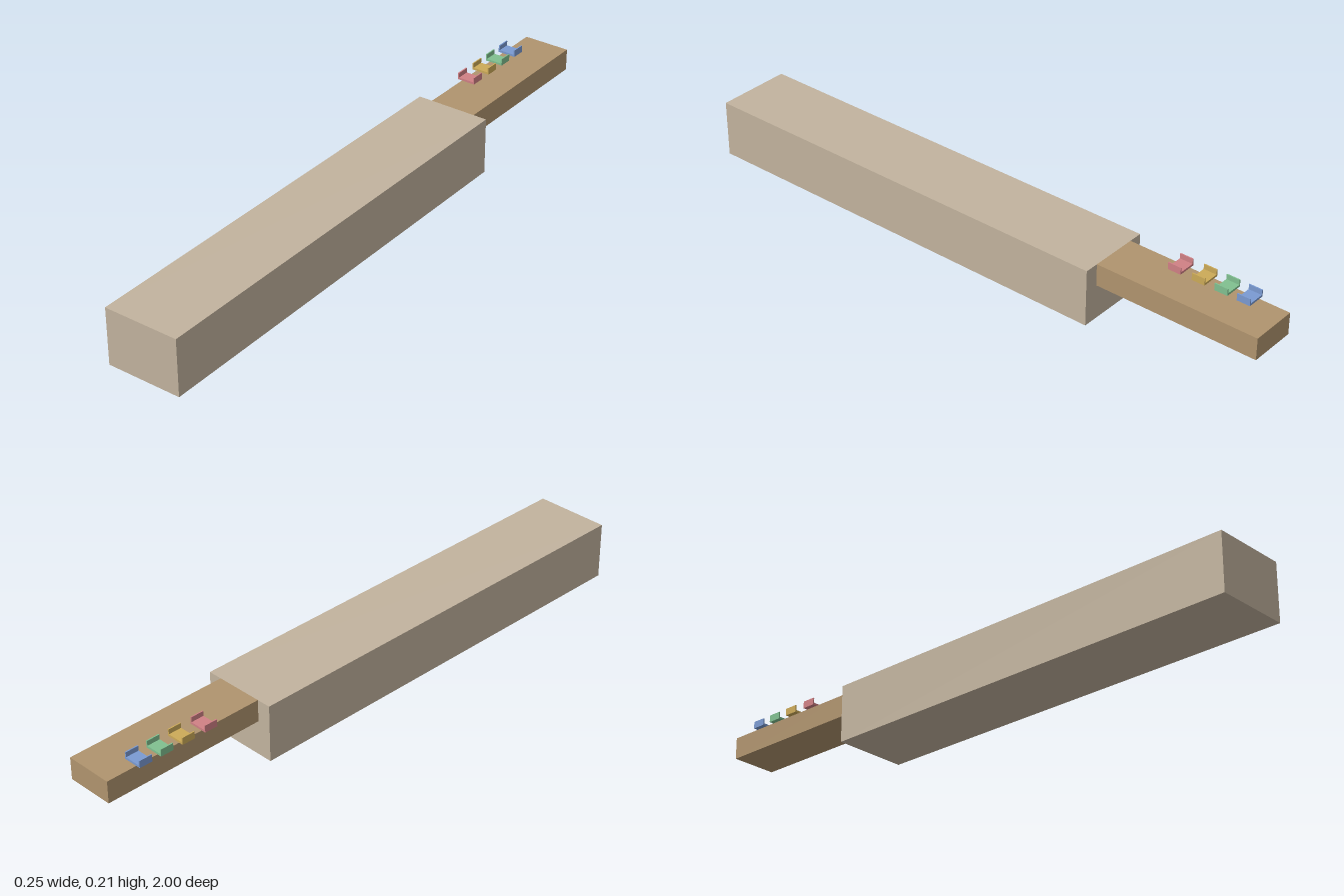
import * as THREE from 'three';

const material = (name, color) => {
  const m = new THREE.MeshStandardMaterial({ color });
  m.name = name;
  return m;
};

// Box given by its minimum and maximum corners
function box(name, mat, min, max) {
  const size = max.map((v, i) => v - min[i]);
  const mesh = new THREE.Mesh(new THREE.BoxGeometry(...size), mat);
  mesh.position.set(...max.map((v, i) => (v + min[i]) / 2));
  mesh.name = name;
  return mesh;
}

// U-shaped channel: a base plate with two thin upright walls, extruded along z
function clip(name, mat, z) {
  const w = 0.0305, h = 0.023, wall = 0.004, base = 0.007, depth = 0.044;
  const profile = new THREE.Shape([
    [-w, 0], [w, 0], [w, h], [w - wall, h], [w - wall, base],
    [-w + wall, base], [-w + wall, h], [-w, h],
  ].map(([x, y]) => new THREE.Vector2(x, y)));
  const geometry = new THREE.ExtrudeGeometry(profile, { depth, bevelEnabled: false });
  geometry.translate(0, 0, -depth / 2);
  const mesh = new THREE.Mesh(geometry, mat);
  mesh.position.set(-0.0625, 0.187, z);
  mesh.name = name;
  return mesh;
}

export function createModel() {
  const group = new THREE.Group();
  group.name = 'model';

  // Long body and the narrower neck flush with its top
  group.add(box('body', material('pale wood', 0xc2b39e), [-0.124, 0, -0.455], [0.124, 0.187, 1]));
  group.add(box('neck', material('brown wood', 0xb0946e), [-0.078, 0.115, -1], [0.078, 0.187, -0.455]));

  // Row of coloured clips along the right edge of the neck
  const clips = [
    ['red', 0xd08085, -0.643],
    ['yellow', 0xccaa58, -0.725],
    ['green', 0x80c090, -0.802],
    ['blue', 0x7a9ad2, -0.877],
  ];
  for (const [name, color, z] of clips) {
    group.add(clip(`${name}Clip`, material(name, color), z));
  }
  return group;
}
